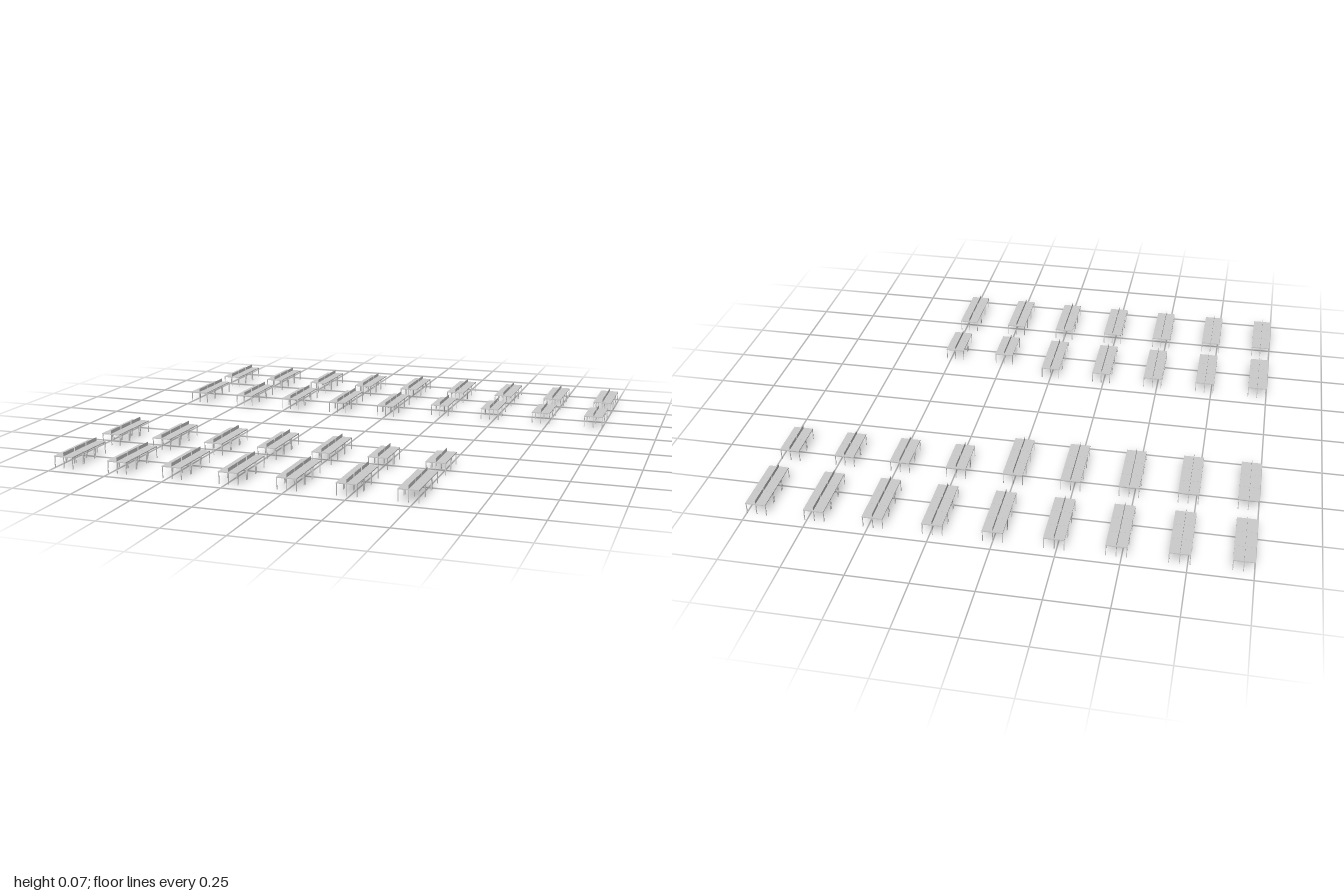
import * as THREE from 'three';
import { mergeGeometries } from 'three/addons/utils/BufferGeometryUtils.js';

const PITCH = 0.0893;  // length of one double desk along z
const WIDTH = 0.083;   // two desks back to back
const TOP_Y = 0.051;
const TOP_T = 0.004;
const LEG = 0.003;

const box = (w, h, d, x, y, z) => new THREE.BoxGeometry(w, h, d).translate(x, y, z);

export function createModel() {
  const model = new THREE.Group();
  model.name = 'deskRows';
  const material = new THREE.MeshStandardMaterial({ color: 0xcccccc });

  // Shared shapes for one module
  const topGeometry = box(WIDTH, TOP_T, PITCH - 0.001, 0, TOP_Y - TOP_T / 2, 0);
  const screenGeometry = box(0.0015, 0.015, PITCH - 0.007, 0, TOP_Y + 0.0075, 0);
  const legs = [];
  const legHeight = TOP_Y - TOP_T;
  for (const x of [-1, 0, 1])
    for (const z of [-1, 1])
      legs.push(box(LEG, legHeight, LEG, x * (WIDTH - LEG) / 2, legHeight / 2, z * (PITCH - 0.007 - LEG) / 2));
  const legGeometry = mergeGeometries(legs);

  const part = (name, geometry) => {
    const mesh = new THREE.Mesh(geometry, material);
    mesh.name = name;
    return mesh;
  };

  // A run of double desks along z, starting at zStart and growing in direction dir
  const addTable = (x, zStart, dir, count) => {
    const table = new THREE.Group();
    table.name = 'deskCluster';
    for (let i = 0; i < count; i++) {
      const desk = new THREE.Group();
      desk.name = 'doubleDesk';
      desk.add(part('deskTop', topGeometry), part('dividerScreen', screenGeometry), part('legs', legGeometry));
      desk.position.z = dir * (i + 0.5) * PITCH;
      table.add(desk);
    }
    table.position.set(x, 0, zStart);
    model.add(table);
  };

  // Rows: outer z edge, direction, number of columns, number of full-length columns
  const rows = [
    [-0.957, 1, 9, 9],
    [-0.569, 1, 9, 5],
    [0.572, -1, 7, 5],
    [0.955, -1, 7, 7],
  ];
  for (const [z, dir, columns, full] of rows)
    for (let c = 0; c < columns; c++)
      addTable(-0.9585 + c * 0.2396, z, dir, c < full ? 3 : 2);

  return model;
}
